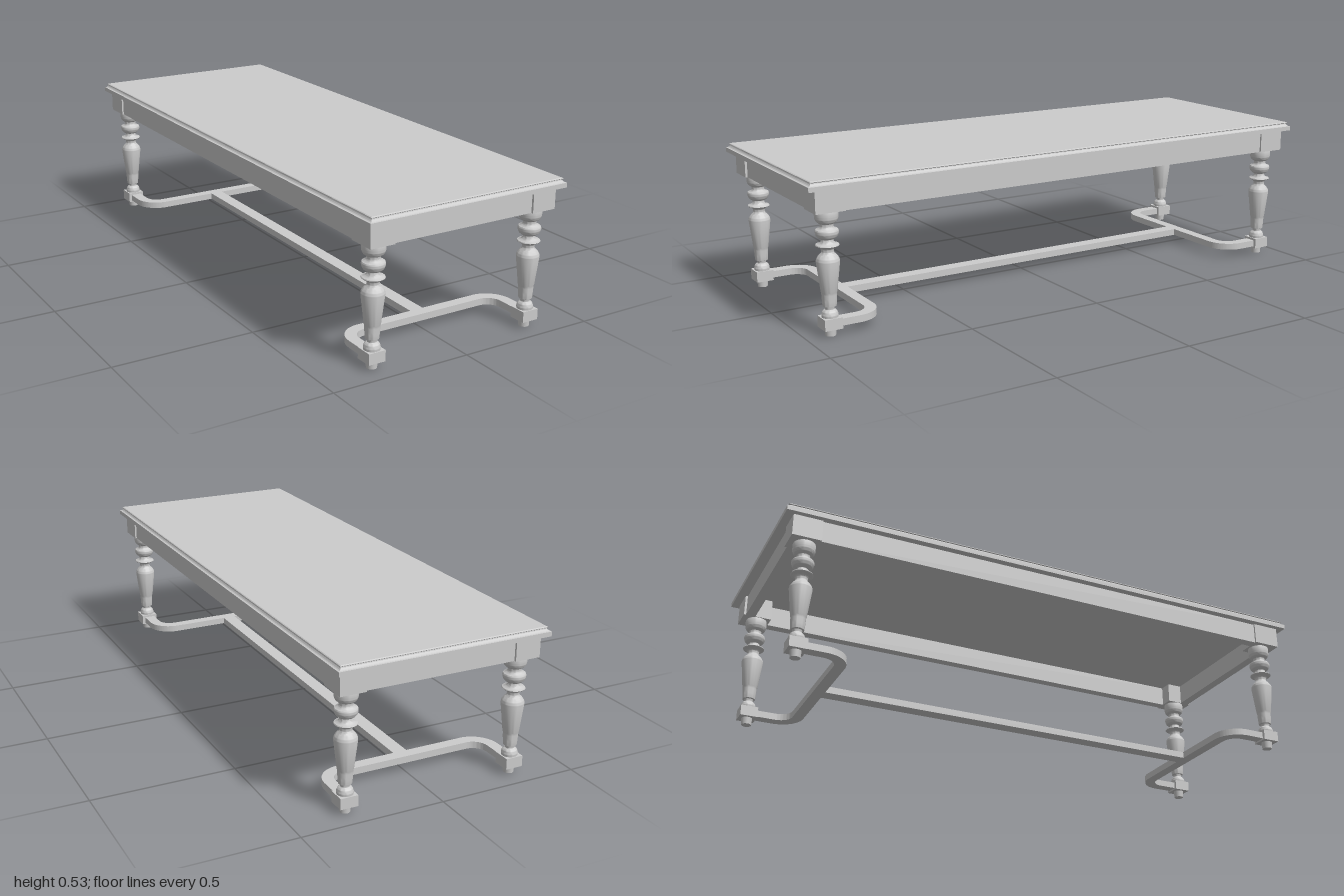
import * as THREE from 'three';
import { toCreasedNormals } from 'three/addons/utils/BufferGeometryUtils.js';

const material = new THREE.MeshStandardMaterial({ color: 0xcccccc });
const LEG_X = 0.307, LEG_Z = 0.915;

function add(parent, name, geometry, x = 0, y = 0, z = 0) {
  const mesh = new THREE.Mesh(geometry, material);
  mesh.name = name;
  mesh.position.set(x, y, z);
  parent.add(mesh);
  return mesh;
}

// Box given by its size and the height of its underside
function box(parent, name, w, h, d, x, bottom, z) {
  return add(parent, name, new THREE.BoxGeometry(w, h, d), x, bottom + h / 2, z);
}

// Rectangular slab whose edge follows a list of [inset, y], from bottom to top
function mouldedSlab(halfX, halfZ, edge) {
  const pos = [];
  const ring = ([inset, y]) => {
    const x = halfX - inset, z = halfZ - inset;
    return [[-x, y, z], [x, y, z], [x, y, -z], [-x, y, -z]];
  };
  const quad = (a, b, c, d) => pos.push(...a, ...b, ...c, ...a, ...c, ...d);
  const rings = edge.map(ring);
  for (let i = 0; i < rings.length - 1; i++) {
    for (let k = 0; k < 4; k++) {
      const n = (k + 1) % 4;
      quad(rings[i][k], rings[i][n], rings[i + 1][n], rings[i + 1][k]);
    }
  }
  quad(...rings[rings.length - 1]);
  quad(...[...rings[0]].reverse());
  const geo = new THREE.BufferGeometry();
  geo.setAttribute('position', new THREE.Float32BufferAttribute(pos, 3));
  geo.computeVertexNormals();
  return geo;
}

// Turned profile: each section of [radius, y] is a smooth curve, joints stay crisp
function turnedLeg() {
  const sections = [
    [[0.027, 0.062], [0.0275, 0.072], [0.024, 0.082], [0.019, 0.087]],
    [[0.016, 0.089], [0.0155, 0.093], [0.017, 0.098]],
    [[0.021, 0.1], [0.023, 0.104], [0.0255, 0.145]],
    [[0.027, 0.149], [0.038, 0.243]],
    [[0.0385, 0.248], [0.037, 0.257], [0.03, 0.268], [0.022, 0.276], [0.0205, 0.285], [0.024, 0.294], [0.037, 0.3]],
    [[0.0385, 0.302], [0.037, 0.305]],
    [[0.026, 0.308], [0.021, 0.314], [0.02, 0.322]],
    [[0.025, 0.324], [0.034, 0.332], [0.0385, 0.346], [0.036, 0.354]],
    [[0.026, 0.358], [0.022, 0.364], [0.023, 0.373]],
    [[0.027, 0.375], [0.034, 0.381], [0.038, 0.391], [0.0385, 0.402]],
    [[0.0385, 0.414], [0.037, 0.419]],
  ];
  const points = sections.flatMap((s) => {
    const pts = s.map(([r, y]) => new THREE.Vector2(r, y));
    return pts.length > 2 ? new THREE.SplineCurve(pts).getPoints(pts.length * 3) : pts;
  });
  return toCreasedNormals(new THREE.LatheGeometry(points, 32), 0.6);
}

// Flat bar that leaves both feet inwards and turns round to cross the table
function curvedStretcher() {
  const w = 0.04, crossZ = 0.747, r = 0.07;
  const xo = LEG_X + w / 2, xi = LEG_X - w / 2;
  const zi = crossZ - w / 2, zo = crossZ + w / 2;
  const R = r + w / 2, q = r - w / 2;
  const s = new THREE.Shape();
  s.moveTo(-xo, LEG_Z);
  s.lineTo(-xo, zi + R);
  s.absarc(-xo + R, zi + R, R, Math.PI, Math.PI * 1.5, false);
  s.lineTo(xo - R, zi);
  s.absarc(xo - R, zi + R, R, -Math.PI / 2, 0, false);
  s.lineTo(xo, LEG_Z);
  s.lineTo(xi, LEG_Z);
  s.lineTo(xi, zo + q);
  s.absarc(xi - q, zo + q, q, 0, -Math.PI / 2, true);
  s.lineTo(-xi + q, zo);
  s.absarc(-xi + q, zo + q, q, Math.PI * 1.5, Math.PI, true);
  s.lineTo(-xi, LEG_Z);
  s.closePath();
  const geo = new THREE.ExtrudeGeometry(s, { depth: 0.024, bevelEnabled: false, curveSegments: 14 });
  geo.rotateX(Math.PI / 2); // shape y becomes z, depth runs down
  return toCreasedNormals(geo, 0.6);
}

export function createModel() {
  const table = new THREE.Group();
  table.name = 'diningTable';

  // Table top with a stepped, hollowed edge
  add(table, 'tableTop', mouldedSlab(0.378, 1, [
    [0, 0.495], [0, 0.511], [0.005, 0.512], [0.008, 0.514], [0.011, 0.518],
    [0.012, 0.521], [0.009, 0.523], [0.009, 0.525], [0.012, 0.527],
  ]));

  // Apron boards, set slightly back from the corner blocks
  for (const s of [-1, 1]) {
    box(table, 'sideApron', 0.035, 0.077, 1.76, s * 0.3345, 0.418, 0);
    box(table, 'endApron', 0.55, 0.077, 0.035, 0, 0.418, s * 0.9465);
  }

  // Legs: corner block, turned shaft, foot block and peg foot
  const shaft = turnedLeg();
  const peg = new THREE.CylinderGeometry(0.0195, 0.0175, 0.026, 32);
  for (const sx of [-1, 1]) {
    for (const sz of [-1, 1]) {
      const leg = new THREE.Group();
      leg.name = 'leg';
      leg.position.set(sx * LEG_X, 0, sz * LEG_Z);
      box(leg, 'cornerBlock', 0.091, 0.077, 0.102, sx * 0.006, 0.418, sz * 0.006);
      add(leg, 'turnedShaft', shaft);
      box(leg, 'footBlock', 0.062, 0.038, 0.062, 0, 0.025, 0);
      add(leg, 'pegFoot', peg, 0, 0.013, 0);
      table.add(leg);
    }
  }

  // Stretchers: a curved one at each end, joined by a long centre bar
  const curved = curvedStretcher();
  for (const sz of [-1, 1]) {
    add(table, 'endStretcher', curved, 0, 0.055, 0).rotation.y = sz > 0 ? 0 : Math.PI;
  }
  box(table, 'centreStretcher', 0.05, 0.024, 1.46, 0, 0.031, 0);

  return table;
}
